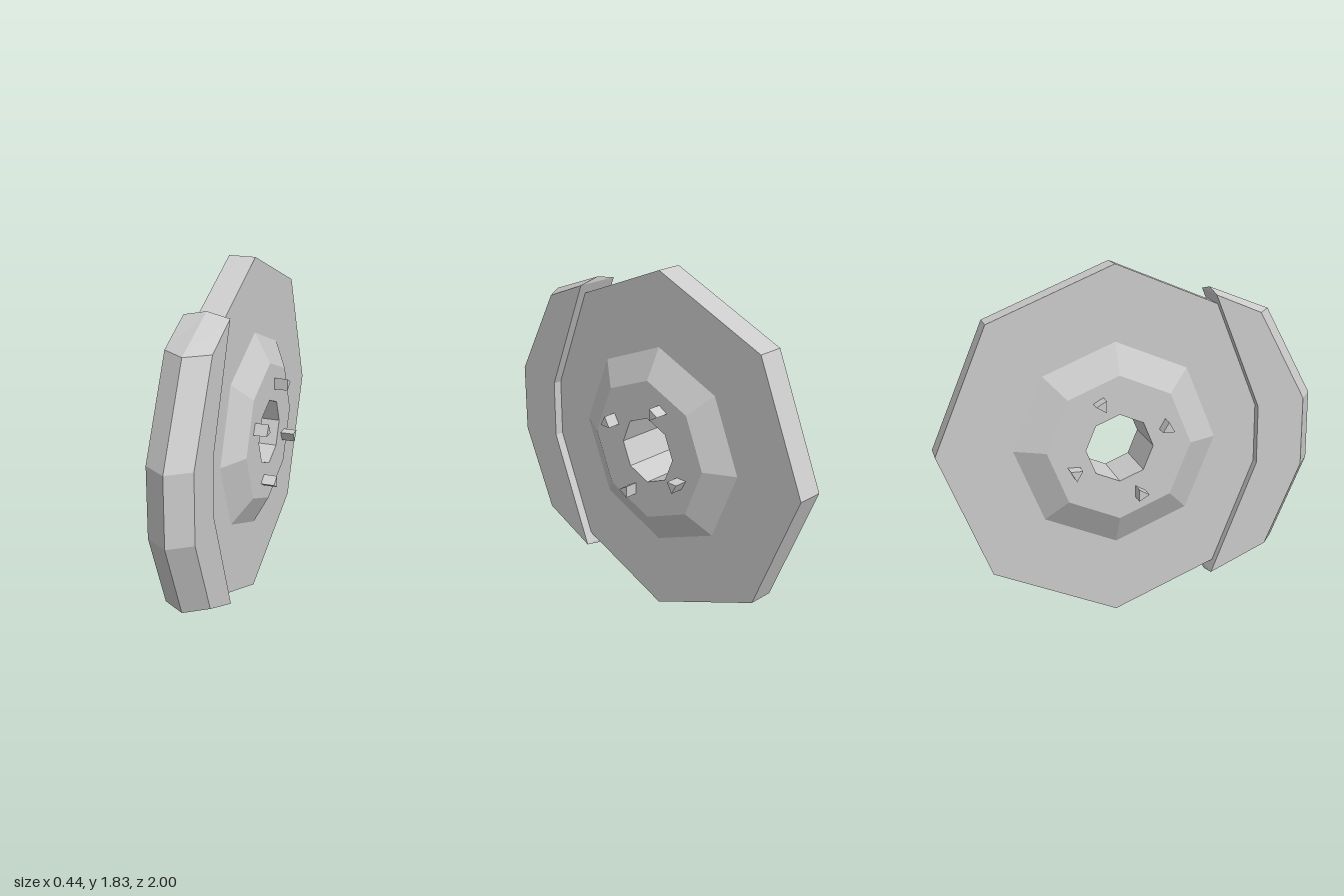
import * as THREE from 'three';

const material = new THREE.MeshStandardMaterial({ color: 0xcccccc, flatShading: true });

function addMesh(parent, name, geometry) {
  const mesh = new THREE.Mesh(geometry, material);
  mesh.name = name;
  parent.add(mesh);
  return mesh;
}

// Eight-sided turned part around the x axis; profile is [radius, x]
function turned(profile) {
  const points = profile.map(([r, x]) => new THREE.Vector2(r, x));
  return new THREE.LatheGeometry(points, 8).rotateZ(-Math.PI / 2);
}

// Wedge-fronted guard lofted from top to bottom; stations are [z, y]
function guardGeometry() {
  const w = 0.115;
  const inner = [[0.43, 1.665], [0.67, 1.07], [0.67, 1.07], [0.67, 0.765], [0.67, 0.765], [0.43, 0.17]];
  const edge = [[0.43, 1.665], [0.67, 1.565], [0.92, 1.1], [0.92, 0.737], [0.73, 0.307], [0.43, 0.17]];
  const ridge = [[0.43, 1.69], [0.75, 1.565], [1, 1.1], [1, 0.737], [0.81, 0.307], [0.43, 0.146]];
  const positions = [];
  const indices = [];
  const n = 5;
  for (let s = 0; s < edge.length; s++) {
    const ring = [[w, inner[s]], [w, edge[s]], [0, ridge[s]], [-w, edge[s]], [-w, inner[s]]];
    for (const [x, [z, y]] of ring) positions.push(x, y, z);
  }
  for (let s = 0; s < edge.length - 1; s++) {
    for (let k = 0; k < n; k++) {
      const a = s * n + k, b = s * n + (k + 1) % n;
      indices.push(a, b, b + n, a, b + n, a + n);
    }
  }
  // Thin triangular tips
  const last = (edge.length - 1) * n;
  indices.push(1, 3, 2, last + 1, last + 2, last + 3);
  const geometry = new THREE.BufferGeometry();
  geometry.setAttribute('position', new THREE.Float32BufferAttribute(positions, 3));
  geometry.setIndex(indices);
  const flat = geometry.toNonIndexed();
  flat.computeVertexNormals();
  return flat;
}

export function createModel() {
  const model = new THREE.Group();
  model.name = 'guardedWheel';

  const wheel = new THREE.Group();
  wheel.name = 'wheel';
  wheel.position.set(0.003, 0.917, -0.083);
  model.add(wheel);

  // Octagonal disc
  addMesh(wheel, 'disc', turned([[0.53, -0.068], [0.917, -0.068], [0.917, 0.068], [0.53, 0.068]]));

  // Raised hub with an open bore, one half per side
  for (const side of [0, 1]) {
    const hub = addMesh(wheel, side ? 'rightHub' : 'leftHub',
      turned([[0.53, 0.068], [0.375, 0.15], [0.175, 0.15], [0.175, 0]]));
    hub.rotation.y = side * Math.PI;
  }

  // Triangular lugs through the hub, a quarter turn apart
  for (let i = 0; i < 4; i++) {
    const lug = new THREE.CylinderGeometry(0.036, 0.036, 0.44, 3)
      .rotateZ(-Math.PI / 2)
      .rotateX(-Math.PI / 2)
      .translate(0, 0.101, 0.238)
      .rotateX(i * Math.PI / 2);
    addMesh(wheel, 'lug' + (i + 1), lug);
  }

  // Guard over the front of the wheel
  addMesh(model, 'guard', guardGeometry()).position.x = 0.003;

  return model;
}
